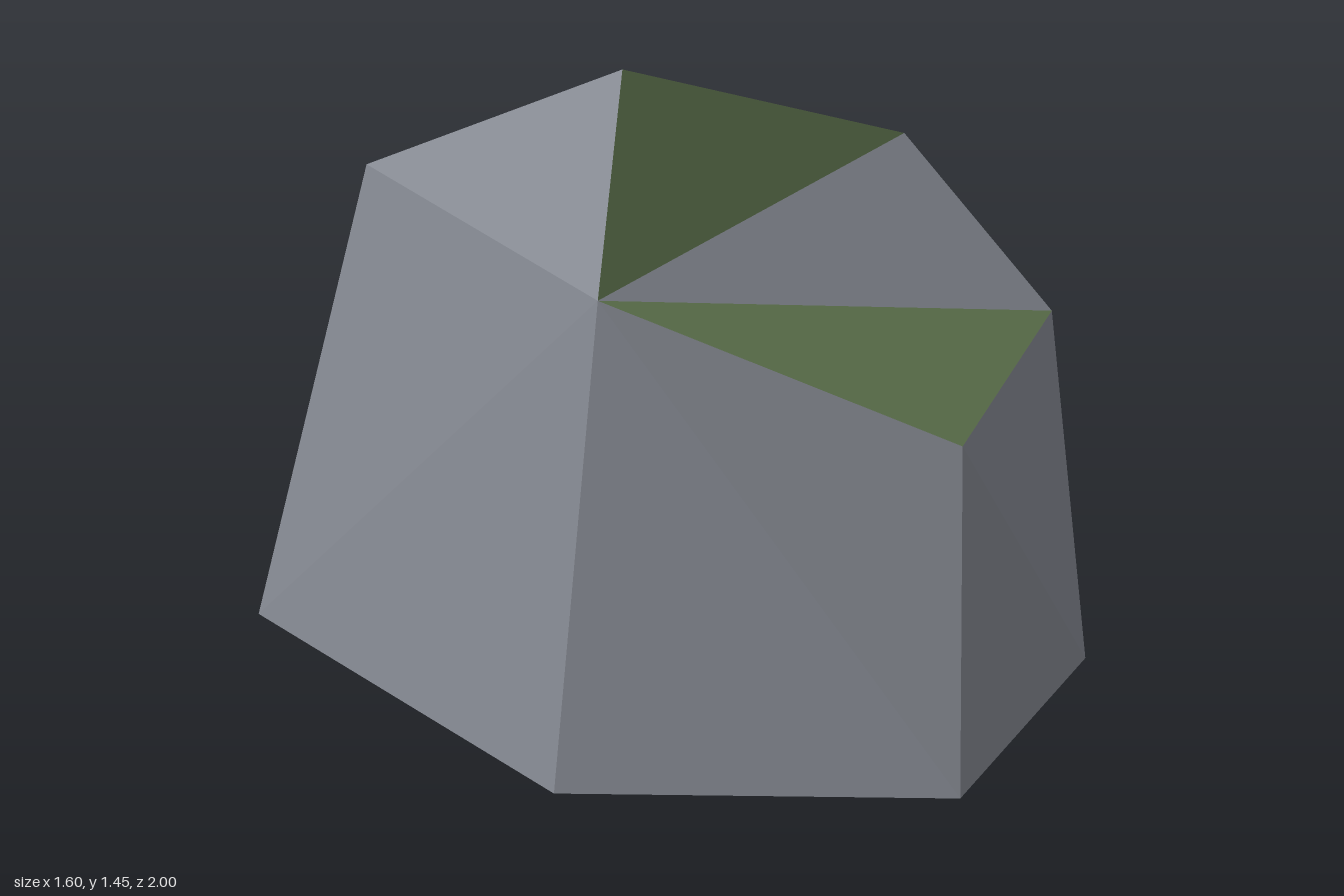
import * as THREE from 'three';

// Named corners of the boulder
const P = {
  peak: [-0.28, 1.45, 0.13],
  topLeft: [0.53, 1.24, 0.02],
  topBack: [0.23, 1.31, -0.77],
  topRight: [-0.54, 1.15, -0.70],
  ledgeRight: [-0.51, 1.02, 0.45],
  ledgeLeft: [0.76, 0.84, 0.31],
  ledgeFront: [0.04, 0.76, 0.98],
  back: [0.37, 0.70, -1.0],
  baseBackRight: [-0.80, 0.01, -0.86],
  baseRight: [-0.68, 0.01, 0.56],
  baseFront: [0.04, 0.01, 1.0],
  baseLeft: [0.80, 0.01, 0.43],
  baseBack: [0.45, 0, -0.98],
};

// Faceted mesh from counter-clockwise polygons, each fanned from its first corner
function facets(name, polygons, material) {
  const positions = [];
  for (const polygon of polygons) {
    const corners = polygon.split(' ');
    for (let i = 1; i < corners.length - 1; i++) {
      positions.push(...P[corners[0]], ...P[corners[i]], ...P[corners[i + 1]]);
    }
  }
  const geometry = new THREE.BufferGeometry();
  geometry.setAttribute('position', new THREE.Float32BufferAttribute(positions, 3));
  geometry.computeVertexNormals();
  const mesh = new THREE.Mesh(geometry, material);
  mesh.name = name;
  return mesh;
}

export function createModel() {
  const stone = new THREE.MeshStandardMaterial({ color: 0x858992 });
  stone.name = 'stone grey';
  const moss = new THREE.MeshStandardMaterial({ color: 0x5a6e4a });
  moss.name = 'moss green';

  const boulder = new THREE.Group();
  boulder.name = 'mossyBoulder';
  boulder.add(
    // Moss on the upward facets
    facets('mossCap', [
      'peak topLeft topBack',
      'peak topBack topRight',
      'topRight topBack back',
      'ledgeRight topLeft peak',
    ], moss),
    facets('mossLedge', ['ledgeRight ledgeFront ledgeLeft'], moss),
    // Bare stone above the ledge and at the right shoulder
    facets('stoneShoulder', [
      'ledgeRight ledgeLeft topLeft',
      'peak topRight ledgeRight',
    ], stone),
    // Stone walls all round
    facets('stoneWalls', [
      'baseBackRight baseRight ledgeRight topRight',
      'baseRight baseFront ledgeRight',
      'baseFront ledgeFront ledgeRight',
      'baseFront baseLeft ledgeFront',
      'baseLeft ledgeLeft ledgeFront',
      'baseLeft baseBack back ledgeLeft',
      'ledgeLeft back topBack topLeft',
      'baseBack baseBackRight back',
      'back baseBackRight topRight',
    ], stone),
    facets('stoneBase', ['baseBackRight baseBack baseLeft baseFront baseRight'], stone),
  );
  return boulder;
}
